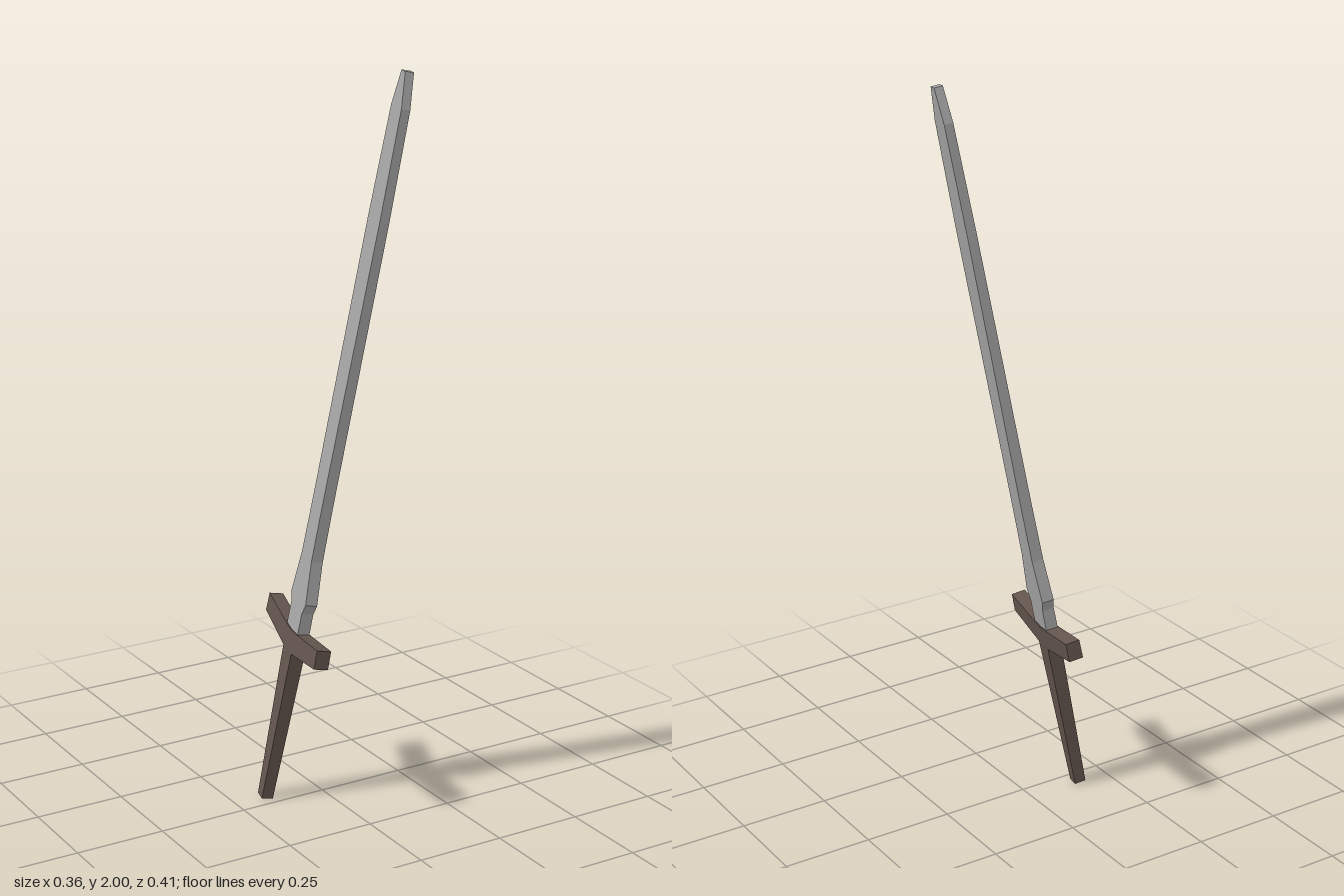
import * as THREE from 'three';

const steel = new THREE.MeshStandardMaterial({ color: 0xa6a6a6 });
steel.name = 'steel';
const wood = new THREE.MeshStandardMaterial({ color: 0x64554e });
wood.name = 'brownWood';
steel.flatShading = wood.flatShading = true;

// Mirrors a half outline of [halfWidth, height] points and extrudes it;
// the thickness runs evenly from t0 at height h0 to t1 at height h1.
function slab(name, half, material, [h0, t0], [h1, t1]) {
  const right = half.map(([w, h]) => new THREE.Vector2(w, h));
  const left = half.filter(([w]) => w > 0).reverse().map(([w, h]) => new THREE.Vector2(-w, h));
  const geometry = new THREE.ExtrudeGeometry(new THREE.Shape([...right, ...left]), {
    depth: 1, bevelEnabled: false,
  });
  geometry.translate(0, 0, -0.5);
  const p = geometry.attributes.position;
  for (let i = 0; i < p.count; i++) {
    const k = (p.getY(i) - h0) / (h1 - h0);
    p.setZ(i, p.getZ(i) * THREE.MathUtils.lerp(t0, t1, k));
  }
  geometry.computeVertexNormals();
  const mesh = new THREE.Mesh(geometry, material);
  mesh.name = name;
  return mesh;
}

export function createModel() {
  const sword = new THREE.Group();
  sword.name = 'sword';

  // Tapered grip
  sword.add(slab('handle', [[0.018, 0], [0.033, 0.44]], wood, [0, 0.032], [0.44, 0.04]));

  // Crossguard with raised arms
  sword.add(slab('crossguard', [
    [0.033, 0.44], [0.203, 0.471], [0.2, 0.523], [0.045, 0.502], [0, 0.498],
  ], wood, [0.44, 0.04], [0.53, 0.04]));

  // Blade: notched base, flared shoulder, long body, blunt tip
  sword.add(slab('blade', [
    [0.044, 0.485], [0.044, 0.562], [0.058, 0.592], [0.039, 0.71], [0.037, 0.88],
    [0.042, 1.645], [0.036, 1.937], [0.013, 2.03],
  ], steel, [0.485, 0.034], [2.03, 0.024]));

  // Lean the whole sword
  const along = new THREE.Vector3(0.159, 0.983, 0.0925).normalize();
  const across = new THREE.Vector3(-0.2, -0.059, 0.97);
  across.addScaledVector(along, -across.dot(along)).normalize();
  const through = new THREE.Vector3().crossVectors(across, along);
  sword.quaternion.setFromRotationMatrix(new THREE.Matrix4().makeBasis(across, along, through));
  sword.position.set(-0.158, 0.004, -0.043);

  const model = new THREE.Group();
  model.name = 'leaningSword';
  model.add(sword);
  return model;
}
